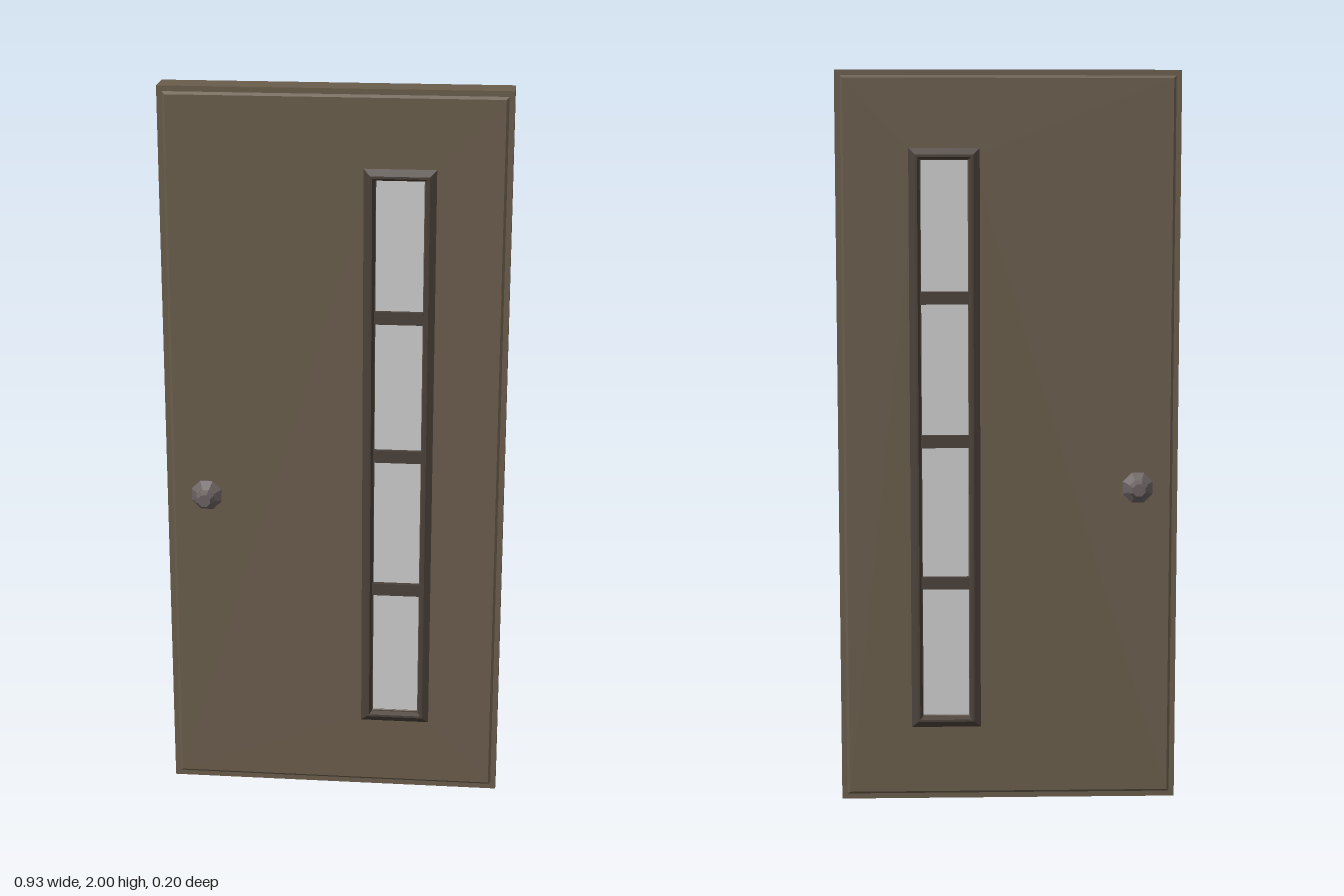
import * as THREE from 'three';

const mat = (color) => new THREE.MeshStandardMaterial({ color, flatShading: true });
const wood = mat(0x695c4b), trim = mat(0x4a4039), metal = mat(0x6a6060), glass = mat(0xcccccc);

const WIN = { x: 0.172, y: 1, w: 0.192, h: 1.59 };

function add(parent, name, geometry, material, x = 0, y = 0, z = 0) {
  const mesh = new THREE.Mesh(geometry, material);
  mesh.name = name;
  mesh.position.set(x, y, z);
  parent.add(mesh);
  return mesh;
}

// Rectangle around (0, 1) with the window opening cut out
function doorShape(w, h) {
  const rect = (path, cx, cy, rw, rh) => path
    .moveTo(cx - rw / 2, cy - rh / 2).lineTo(cx + rw / 2, cy - rh / 2)
    .lineTo(cx + rw / 2, cy + rh / 2).lineTo(cx - rw / 2, cy + rh / 2).closePath();
  const shape = new THREE.Shape();
  rect(shape, 0, 1, w, h);
  const hole = new THREE.Path();
  rect(hole, WIN.x, WIN.y, WIN.w - 0.05, WIN.h - 0.05);
  shape.holes.push(hole);
  return shape;
}

// Mitred rectangular moulding from a profile of [inset, z]
function moulding(w, h, profile) {
  const pos = [];
  const corner = ([inset, z], k) => {
    const sx = [-1, 1, 1, -1][k % 4], sy = [-1, -1, 1, 1][k % 4];
    return [sx * (w / 2 - inset), sy * (h / 2 - inset), z];
  };
  for (let i = 0; i < profile.length - 1; i++) {
    for (let k = 0; k < 4; k++) {
      const a = corner(profile[i], k), b = corner(profile[i], k + 1);
      const c = corner(profile[i + 1], k + 1), d = corner(profile[i + 1], k);
      pos.push(...a, ...b, ...c, ...a, ...c, ...d);
    }
  }
  const g = new THREE.BufferGeometry();
  g.setAttribute('position', new THREE.Float32BufferAttribute(pos, 3));
  g.computeVertexNormals();
  return g;
}

export function createModel() {
  const door = new THREE.Group();
  door.name = 'door';

  // Outer slab
  const slab = new THREE.ExtrudeGeometry(doorShape(0.925, 2), { depth: 0.088, bevelEnabled: false });
  add(door, 'slab', slab, wood, 0, 0, -0.044);

  // Raised panel with a chamfered edge, showing on both faces
  const panel = new THREE.ExtrudeGeometry(doorShape(0.882, 1.957), {
    depth: 0.086, bevelThickness: 0.0075, bevelSize: 0.008, bevelSegments: 1,
  });
  add(door, 'raisedPanel', panel, wood, 0, 0, -0.043);

  // Window trim and bars, one set per face
  const trimProfile = [[0, 0.04], [0, 0.05], [0.018, 0.063], [0.024, 0.063], [0.031, 0.052], [0.031, 0]];
  const trimGeo = moulding(WIN.w, WIN.h, trimProfile);
  const paneW = WIN.w - 0.06;
  for (const [side, turn] of [['front', 0], ['back', Math.PI]]) {
    const win = new THREE.Group();
    win.name = side + 'Window';
    win.position.set(WIN.x, WIN.y, 0);
    win.rotation.y = turn;
    add(win, 'windowTrim', trimGeo, trim);
    for (const y of [-0.388, 0.004, 0.394]) {
      add(win, 'windowBar', new THREE.BoxGeometry(paneW, 0.034, 0.02), trim, 0, y, 0.046);
    }
    door.add(win);
  }

  // Glass
  add(door, 'glass', new THREE.BoxGeometry(paneW, WIN.h - 0.06, 0.084), glass, WIN.x, WIN.y, 0);

  // Faceted knobs, turned about the z axis
  const profile = [[0.046, 0.048], [0.044, 0.052], [0.02, 0.073], [0.028, 0.084], [0.018, 0.1], [0, 0.1]]
    .map(([r, z]) => new THREE.Vector2(r, z));
  const knobGeo = new THREE.LatheGeometry(profile, 8, Math.PI / 8);
  knobGeo.rotateX(Math.PI / 2);
  for (const [side, turn] of [['front', 0], ['back', Math.PI]]) {
    add(door, side + 'Knob', knobGeo, metal, -0.353, 0.875, 0).rotation.y = turn;
  }

  return door;
}
